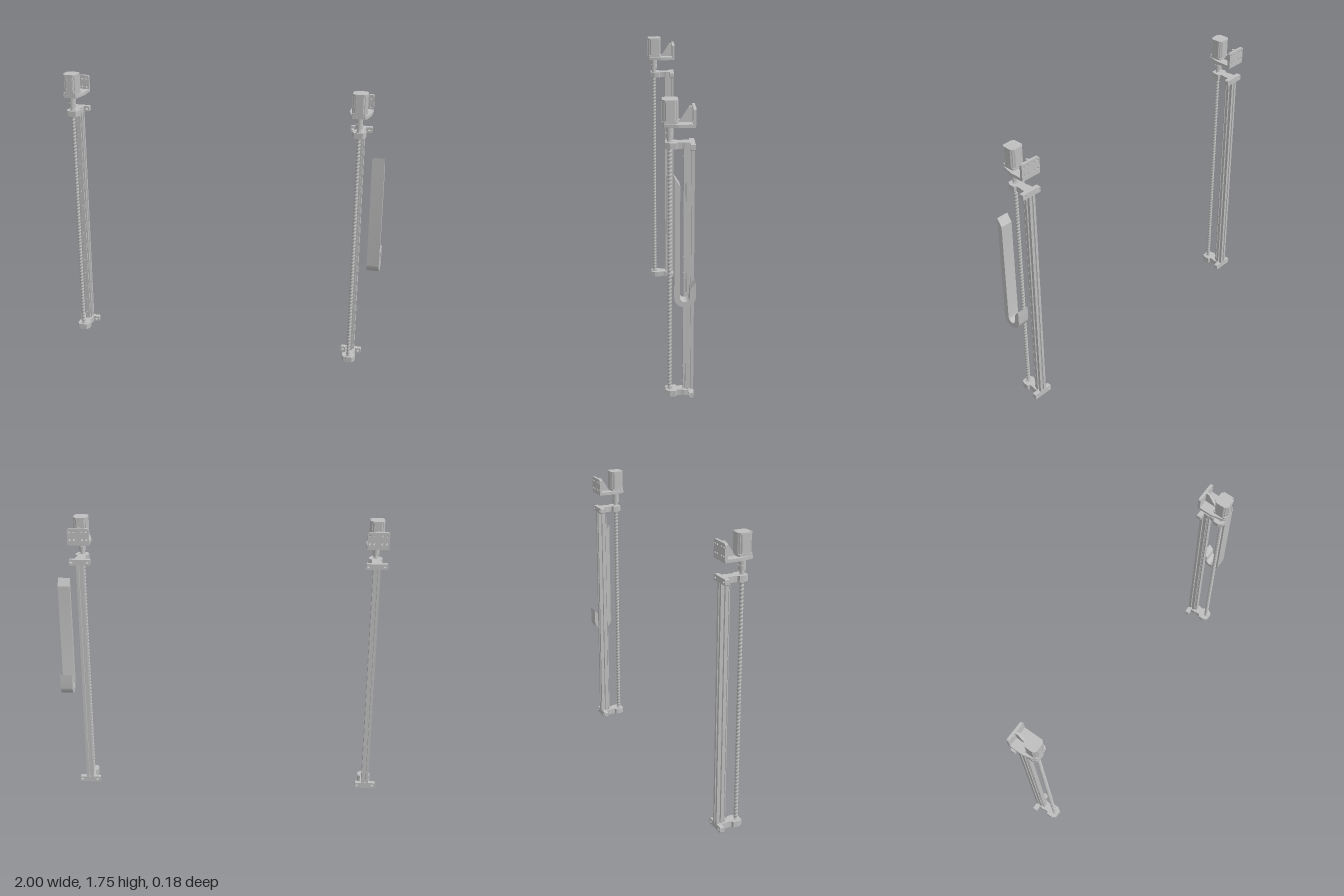
import * as THREE from 'three';
import { toCreasedNormals } from 'three/addons/utils/BufferGeometryUtils.js';

const steel = new THREE.MeshStandardMaterial({ color: 0xbebebe });
steel.name = 'grey metal';

function add(group, name, geo, x = 0, y = 0, z = 0) {
  const mesh = new THREE.Mesh(geo, steel);
  mesh.name = name;
  mesh.position.set(x, y, z);
  group.add(mesh);
}

const outline = pts => new THREE.Shape(pts.map(p => new THREE.Vector2(p[0], p[1])));
const mirrored = pts => outline([...pts, ...pts.map(([x, y]) => [-x, y]).reverse()]);
const extrude = (shape, depth, curveSegments = 10) =>
  new THREE.ExtrudeGeometry(shape, { depth, bevelEnabled: false, curveSegments });

// Plan outline (x, z) raised from y = 0 to y = height
const planSolid = (shape, height) => extrude(shape, height).rotateX(Math.PI / 2).translate(0, height, 0);
// Side outline (z, y) spread over a width centred on x = 0
const sideSolid = (shape, width, seg) => extrude(shape, width, seg).rotateY(-Math.PI / 2).translate(width / 2, 0, 0);

function drill(shape, x, y, rx, ry = rx) {
  const hole = new THREE.Path();
  hole.absellipse(x, y, rx, ry, 0, Math.PI * 2, true);
  shape.holes.push(hole);
}

// Rectangle with cut corners
const rect = (w, h, r) => {
  const a = w / 2, b = h / 2;
  return outline([[a, -b + r], [a, b - r], [a - r, b], [-a + r, b], [-a, b - r], [-a, -b + r], [-a + r, -b], [a - r, -b]]);
};

const SCREW_Z = 0.046;

// Lead screw: a cylinder whose radius follows a helix
function threadedRod(length, radius, depth, pitch) {
  const geo = new THREE.CylinderGeometry(radius, radius, length, 14, Math.round(length / pitch * 8));
  const p = geo.attributes.position;
  for (let i = 0; i < p.count; i++) {
    const x = p.getX(i), z = p.getZ(i);
    if (Math.hypot(x, z) < radius * 0.5) continue;
    const wave = Math.sin(Math.atan2(z, x) + p.getY(i) / pitch * Math.PI * 2);
    const k = 1 - depth * (0.5 - 0.5 * Math.max(-1, Math.min(1, wave * 1.8)));
    p.setX(i, x * k);
    p.setZ(i, z * k);
  }
  geo.computeVertexNormals();
  return geo.translate(0, length / 2, 0);
}

// Slotted square beam, one side turned four times
function beamShape() {
  const h = 0.0215, pts = [];
  const side = [[h, -h], [h, -0.005], [h - 0.004, -0.005], [h - 0.004, -0.009], [h - 0.011, -0.004],
    [h - 0.011, 0.004], [h - 0.004, 0.009], [h - 0.004, 0.005], [h, 0.005]];
  for (let k = 0; k < 4; k++) {
    const c = Math.round(Math.cos(k * Math.PI / 2)), s = Math.round(Math.sin(k * Math.PI / 2));
    for (const [x, y] of side) pts.push([x * c - y * s, x * s + y * c]);
  }
  const shape = outline(pts);
  drill(shape, 0, 0, 0.004);
  return shape;
}

// End support: wide drilled mounting bar, neck and bearing nose
function endSupport(name) {
  const g = new THREE.Group();
  g.name = name;
  const nose = mirrored([[0.03, -0.062], [0.03, -0.035], [0.026, -0.02], [0.026, 0.005], [0.04, 0.012], [0.04, 0.045], [0.026, 0.07]]);
  drill(nose, 0, SCREW_Z, 0.015);
  add(g, 'bearingNose', planSolid(nose, 0.035));
  const bar = rect(0.13, 0.035, 0.004);
  for (const s of [-1, 1]) drill(bar, s * 0.049, 0, 0.009, 0.006);
  add(g, 'mountingBar', extrude(bar, 0.028), 0, 0.0175, -0.089);
  const ring = new THREE.Shape().absarc(0, 0, 0.019, 0, Math.PI * 2);
  drill(ring, 0, 0, 0.011);
  add(g, 'bearingRing', planSolid(ring, 0.039), 0, -0.002, SCREW_Z);
  return g;
}

// Motor with cut corners, flange, end cap and corner screws
function motor() {
  const g = new THREE.Group();
  g.name = 'motor';
  add(g, 'motorFlange', planSolid(rect(0.086, 0.086, 0.008), 0.014));
  add(g, 'motorBody', planSolid(rect(0.086, 0.086, 0.02), 0.104), 0, 0.014, 0);
  add(g, 'motorCap', planSolid(rect(0.086, 0.086, 0.014), 0.01), 0, 0.118, 0);
  for (const x of [-1, 1]) {
    for (const z of [-1, 1]) {
      add(g, 'cornerScrew', new THREE.CylinderGeometry(0.005, 0.005, 0.118, 10), x * 0.032, 0.07, z * 0.032);
    }
    add(g, 'bodyRib', new THREE.BoxGeometry(0.004, 0.104, 0.003), x * 0.018, 0.066, 0.0435);
  }
  return g;
}

// Angle bracket: motor shelf, drilled back plate and central gusset
function motorBracket() {
  const g = new THREE.Group();
  g.name = 'motorBracket';
  const shelf = mirrored([[0.065, -0.09], [0.065, 0], [0.046, 0.078], [0.038, 0.088]]);
  drill(shelf, 0, SCREW_Z, 0.02);
  add(g, 'shelf', planSolid(shelf, 0.018));
  const back = rect(0.13, 0.105, 0.008);
  for (const x of [-0.05, -0.024, 0.024, 0.05]) {
    for (const y of [-0.018, 0.032]) drill(back, x, y, 0.0065);
  }
  add(g, 'backPlate', extrude(back, 0.016), 0, 0.0525, -0.092);
  const gusset = outline([[-0.08, 0.015], [0, 0.015], [-0.057, 0.103], [-0.08, 0.103]]);
  add(g, 'gusset', sideSolid(gusset, 0.014));
  return g;
}

function actuator(name, x) {
  const g = new THREE.Group();
  g.name = name;
  g.position.x = x;

  const lower = endSupport('lowerSupport');
  lower.position.y = 0.008;
  const upper = endSupport('upperSupport');
  upper.position.y = 1.482;
  g.add(lower, upper);

  // Beam and the guide rail on its face
  add(g, 'beam', planSolid(beamShape(), 1.44), 0, 0.042, -0.0675);
  add(g, 'railBase', new THREE.BoxGeometry(0.028, 1.44, 0.005), 0, 0.762, -0.0435);
  add(g, 'railWaist', new THREE.BoxGeometry(0.018, 1.44, 0.005), 0, 0.762, -0.0385);
  const head = rect(0.028, 1.44, 0.001);
  for (let i = 0; i < 15; i++) drill(head, 0, -0.672 + i * 0.096, 0.006);
  add(g, 'railHead', extrude(head, 0.006), 0, 0.762, -0.036);

  // Screw and shaft coupling
  add(g, 'leadScrew', threadedRod(1.5, 0.0125, 0.22, 0.022), 0, 0, SCREW_Z);
  add(g, 'screwCollar', new THREE.CylinderGeometry(0.012, 0.015, 0.04, 20), 0, 1.52, SCREW_Z);
  add(g, 'couplingLower', new THREE.CylinderGeometry(0.021, 0.021, 0.027, 24), 0, 1.552, SCREW_Z);
  add(g, 'couplingNeck', new THREE.CylinderGeometry(0.017, 0.017, 0.01, 24), 0, 1.569, SCREW_Z);
  add(g, 'couplingUpper', new THREE.CylinderGeometry(0.021, 0.021, 0.027, 24), 0, 1.586, SCREW_Z);
  add(g, 'motorShaft', new THREE.CylinderGeometry(0.011, 0.011, 0.04, 16), 0, 1.61, SCREW_Z);

  const bracket = motorBracket();
  bracket.position.y = 1.606;
  const drive = motor();
  drive.position.set(0, 1.623, 0.044);
  g.add(bracket, drive);
  return g;
}

// Long J-shaped hook with slanted ends
function hook() {
  const s = new THREE.Shape();
  s.moveTo(0.03, 1.362);
  s.lineTo(0.03, 0.678);
  s.absarc(-0.029, 0.678, 0.059, 0, -Math.PI, true);
  s.lineTo(-0.088, 0.76);
  s.lineTo(-0.057, 0.722);
  s.lineTo(-0.057, 0.678);
  s.absarc(-0.029, 0.678, 0.028, -Math.PI, 0, false);
  s.lineTo(-0.001, 1.315);
  return toCreasedNormals(sideSolid(s, 0.074, 24), 0.4);
}

export function createModel() {
  const model = new THREE.Group();
  model.name = 'twinScrewLift';
  model.add(actuator('rightActuator', -0.935), actuator('leftActuator', 0.842));
  add(model, 'hook', hook(), 0.963, 0, 0);
  return model;
}
